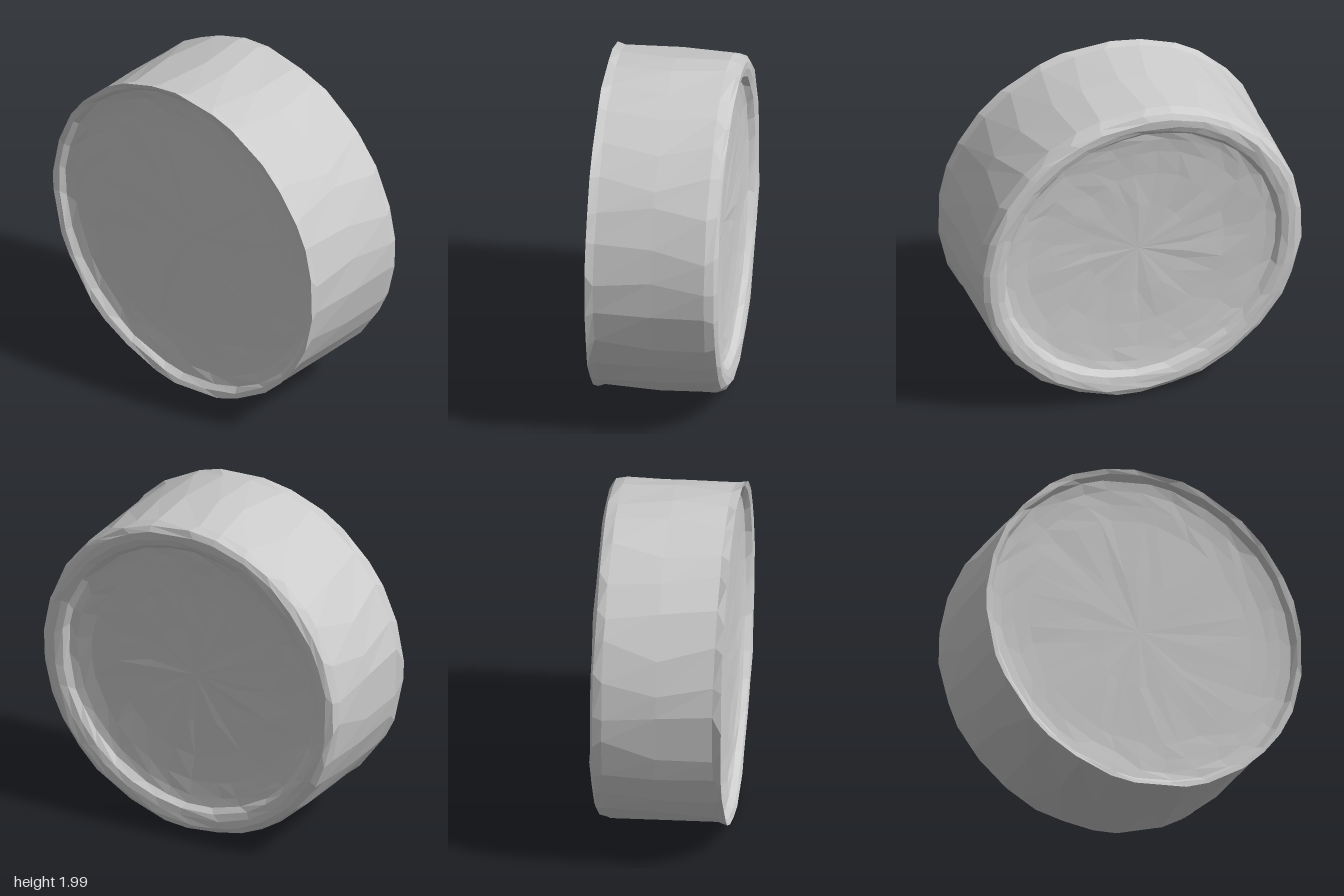
import * as THREE from 'three';

const SIDES = 30;
const material = new THREE.MeshStandardMaterial({
  color: 0xcccccc, flatShading: true, side: THREE.DoubleSide,
});

// Repeatable noise in -1..1, so rings shared by two parts stay welded
function noise(a, b, c) {
  const s = Math.sin(a * 127.1 + b * 311.7 + c * 74.7) * 43758.5453;
  return (s - Math.floor(s)) * 2 - 1;
}

// Profile of [radius, z] pairs turned about the z axis, with small dents
function turned(name, profile) {
  const geometry = new THREE.LatheGeometry(
    profile.map(([r, z]) => new THREE.Vector2(r, z)), SIDES);
  const pos = geometry.attributes.position;
  for (let i = 0; i < pos.count; i++) {
    const [r, z] = profile[i % profile.length];
    const side = Math.floor(i / profile.length) % SIDES;
    const dent = r === 0 ? 0 : 0.004;
    const angle = (side + 0.3 * noise(r, z, side)) / SIDES * Math.PI * 2;
    const radius = Math.min(r + dent * noise(z, r, side + 5), 1);
    const depth = z + dent * noise(r, side, z + 3);
    pos.setXYZ(i, radius * Math.sin(angle), -radius * Math.cos(angle),
      THREE.MathUtils.clamp(depth, -0.387, 0.387));
  }
  geometry.computeVertexNormals();
  const mesh = new THREE.Mesh(geometry, material);
  mesh.name = name;
  return mesh;
}

export function createModel() {
  const model = new THREE.Group();
  model.name = 'drum';
  const body = new THREE.Group();
  body.name = 'body';
  body.position.y = 1;
  model.add(body);

  // Outer wall with a rounded back shoulder
  body.add(turned('outerWall', [
    [0.935, -0.384], [0.968, -0.365], [0.985, -0.31], [0.988, 0], [0.985, 0.33], [0.996, 0.38],
  ]));
  // Thin sharp lip around the front face
  body.add(turned('frontLip', [
    [0.996, 0.38], [0.965, 0.368], [0.94, 0.335], [0.88, 0.32],
  ]));
  // Shallow recessed front panel
  body.add(turned('frontPanel', [
    [0.88, 0.32], [0.8, 0.312], [0.7, 0.307], [0.35, 0.305], [0, 0.305],
  ]));
  // Broad back rim sloping in to the panel
  body.add(turned('backRim', [
    [0.77, -0.325], [0.82, -0.335], [0.85, -0.37], [0.89, -0.382], [0.935, -0.384],
  ]));
  // Dished back panel
  body.add(turned('backPanel', [
    [0, -0.295], [0.3, -0.298], [0.52, -0.305], [0.68, -0.315], [0.77, -0.325],
  ]));
  return model;
}
